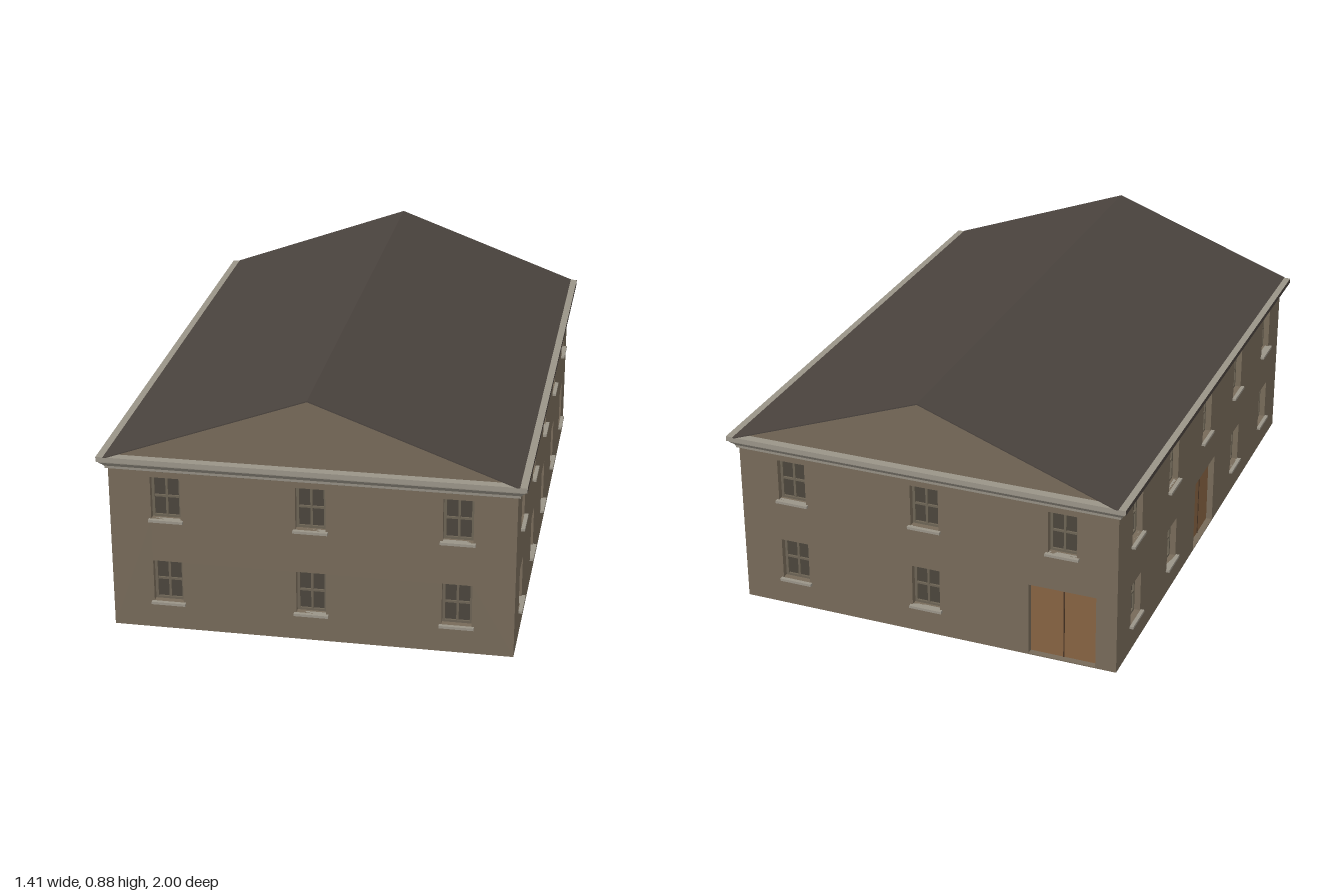
import * as THREE from 'three';

const mat = (name, color, side = THREE.FrontSide) => {
  const m = new THREE.MeshStandardMaterial({ color, side });
  m.name = name;
  return m;
};

const W = 0.675, D = 0.965, T = 0.03;        // half width, half depth, wall thickness
const EAVE = 0.63, RIDGE = 0.878;
const WIN_W = 0.1, WIN_H = 0.15, ROWS = [0.1, 0.405];
const DOOR_W = 0.235, DOOR_H = 0.265, DOOR_Y = 0.004;

export function createModel() {
  const model = new THREE.Group();
  model.name = 'building';
  const wallMat = mat('wall stucco', 0x766a59);
  const roofMat = mat('roof', 0x4a433e, THREE.DoubleSide);
  const trimMat = mat('stone trim', 0x9a9488, THREE.DoubleSide);
  const glassMat = mat('window glass', 0x4b453c);
  const frameMat = mat('window frame', 0x6c6354);
  const doorMat = mat('door wood', 0x866241);
  const seamMat = mat('door seam', 0x4a3626);

  const box = (parent, name, material, w, h, d, x, y, z) => {
    const m = new THREE.Mesh(new THREE.BoxGeometry(w, h, d), material);
    m.name = name;
    m.position.set(x, y, z);
    parent.add(m);
  };

  const rectHole = (x, y, w, h) => {
    const p = new THREE.Path();
    p.moveTo(x - w / 2, y);
    p.lineTo(x - w / 2, y + h);
    p.lineTo(x + w / 2, y + h);
    p.lineTo(x + w / 2, y);
    p.closePath();
    return p;
  };

  // Recessed sash window with four panes and a projecting sill
  const addWindow = (parent, x, y) => {
    const g = new THREE.Group();
    g.name = 'window';
    g.position.set(x, y, 0);
    box(g, 'glass', glassMat, WIN_W + 0.004, WIN_H + 0.004, 0.006, 0, WIN_H / 2, -T - 0.001);
    const z = -T + 0.005;
    for (const s of [-1, 1]) {
      box(g, 'stile', frameMat, 0.009, WIN_H, 0.008, s * (WIN_W / 2 - 0.0045), WIN_H / 2, z);
      box(g, 'rail', frameMat, WIN_W, 0.008, 0.008, 0, WIN_H / 2 + s * (WIN_H / 2 - 0.004), z);
    }
    box(g, 'verticalBar', frameMat, 0.008, WIN_H, 0.006, 0, WIN_H / 2, z);
    box(g, 'horizontalBar', frameMat, WIN_W, 0.007, 0.006, 0, WIN_H / 2, z);
    box(g, 'sill', trimMat, 0.116, 0.009, 0.026, 0, -0.0045, 0);
    parent.add(g);
  };

  // Recessed double door
  const addDoor = (parent, x) => {
    const g = new THREE.Group();
    g.name = 'doubleDoor';
    g.position.set(x, DOOR_Y, 0);
    box(g, 'doorLeaves', doorMat, DOOR_W + 0.004, DOOR_H + 0.003, 0.01, 0, DOOR_H / 2, -T + 0.003);
    box(g, 'doorSeam', seamMat, 0.004, DOOR_H, 0.002, 0, DOOR_H / 2, -T + 0.009);
    parent.add(g);
  };

  // Wall with openings; its outer face lies on local z = 0
  const addWall = (name, half, gable, columns, doorAt, angle, distance) => {
    const g = new THREE.Group();
    g.name = name;
    const s = new THREE.Shape();
    s.moveTo(-half, 0);
    s.lineTo(half, 0);
    s.lineTo(half, EAVE - 0.002);
    if (gable) s.lineTo(0, RIDGE - 0.004);
    s.lineTo(-half, EAVE - 0.002);
    s.closePath();
    for (const x of columns) {
      ROWS.forEach((y, row) => {
        if (row === 0 && x === doorAt) {
          s.holes.push(rectHole(x, DOOR_Y, DOOR_W, DOOR_H));
          addDoor(g, x);
        } else {
          s.holes.push(rectHole(x, y, WIN_W, WIN_H));
          addWindow(g, x, y);
        }
      });
    }
    const geo = new THREE.ExtrudeGeometry(s, { depth: T, bevelEnabled: false });
    geo.translate(0, 0, -T);
    const m = new THREE.Mesh(geo, wallMat);
    m.name = name + 'Panel';
    g.add(m);
    g.rotation.y = angle;
    g.position.set(Math.sin(angle) * distance, 0, Math.cos(angle) * distance);
    model.add(g);
  };

  const endCols = [-0.485, 0, 0.485], sideCols = [-0.775, -0.387, 0, 0.387, 0.775];
  addWall('frontWall', W, true, endCols, null, 0, D);
  addWall('backWall', W, true, endCols, 0.485, Math.PI, D);
  addWall('leftWall', D - T, false, sideCols, null, Math.PI / 2, W);
  addWall('rightWall', D - T, false, sideCols, 0, -Math.PI / 2, W);

  // Cornice: a moulded profile (outset, height) mitred around the walls
  const profile = [[0, 0.576], [0.008, 0.58], [0.009, 0.589], [0.016, 0.597],
    [0.024, 0.605], [0.025, 0.61], [0.031, 0.611], [0.031, 0.628], [-0.012, 0.628]];
  const corners = [[1, 1], [1, -1], [-1, -1], [-1, 1]];
  const stone = [], fascia = [];
  for (let c = 0; c < 4; c++) {
    const a = corners[c], b = corners[(c + 1) % 4];
    const at = (k, [o, y]) => [k[0] * (W + o), y, k[1] * (D + o)];
    for (let i = 0; i < profile.length - 1; i++) {
      const p = at(a, profile[i]), q = at(b, profile[i]);
      const r = at(b, profile[i + 1]), t = at(a, profile[i + 1]);
      // the long eaves carry a dark roof edge
      const out = i === 6 && a[0] === b[0] ? fascia : stone;
      out.push(...p, ...q, ...r, ...p, ...r, ...t);
    }
  }
  for (const [name, list, material] of [['cornice', stone, trimMat], ['eaveEdge', fascia, roofMat]]) {
    const geo = new THREE.BufferGeometry();
    geo.setAttribute('position', new THREE.Float32BufferAttribute(list, 3));
    geo.computeVertexNormals();
    const m = new THREE.Mesh(geo, material);
    m.name = name;
    model.add(m);
  }

  // Thin gable roof overhanging both ends
  const chevron = new THREE.Shape();
  chevron.moveTo(-0.682, EAVE - 0.002);
  chevron.lineTo(-0.672, EAVE - 0.002);
  chevron.lineTo(0, RIDGE - 0.004);
  chevron.lineTo(0.672, EAVE - 0.002);
  chevron.lineTo(0.682, EAVE - 0.002);
  chevron.lineTo(0, RIDGE);
  chevron.closePath();
  const roofGeo = new THREE.ExtrudeGeometry(chevron, { depth: 2, bevelEnabled: false });
  roofGeo.translate(0, 0, -1);
  const roof = new THREE.Mesh(roofGeo, roofMat);
  roof.name = 'roof';
  model.add(roof);

  return model;
}
